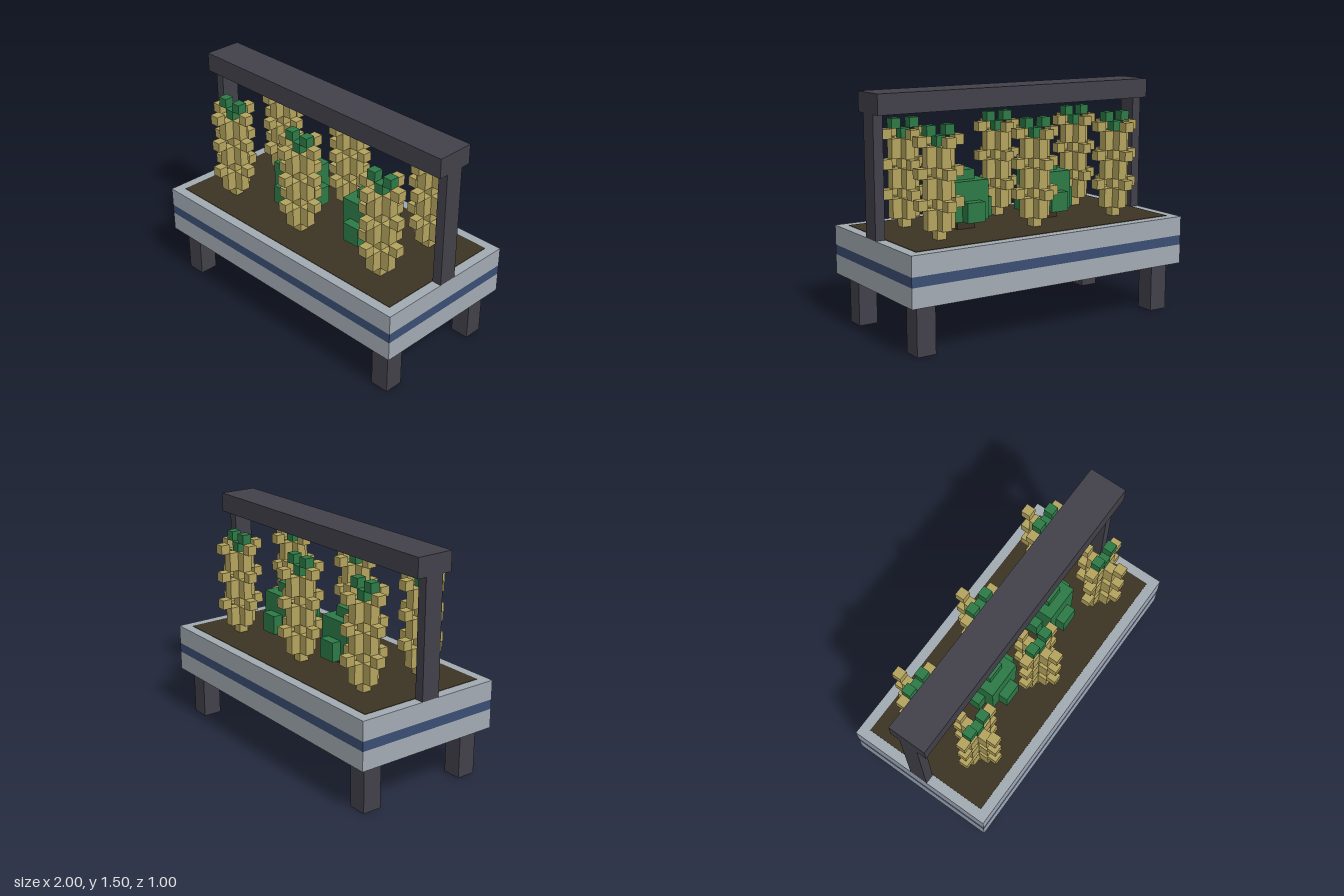
import * as THREE from 'three';

const U = 0.0625; // block size

const mat = (name, color) => {
  const m = new THREE.MeshStandardMaterial({ color });
  m.name = name;
  return m;
};

export function createModel() {
  const model = new THREE.Group();
  model.name = 'planter';
  const frameDark = mat('frame charcoal', 0x42414a);
  const trayGrey = mat('tray grey', 0xa3abb3);
  const stripeBlue = mat('stripe blue', 0x3b4e74);
  const soilBrown = mat('soil brown', 0x3c3423);
  const leafGreen = mat('leaf green', 0x2d7a47);
  const stalkTan = mat('stalk tan', 0xb5a45e);

  // Box given by centre x/z, bottom and top heights, and full width/depth
  const box = (parent, name, material, x, z, y0, y1, w, d) => {
    const mesh = new THREE.Mesh(new THREE.BoxGeometry(w, y1 - y0, d), material);
    mesh.position.set(x, (y0 + y1) / 2, z);
    mesh.name = name;
    parent.add(mesh);
    return mesh;
  };

  // Tray with a stripe band and a bed of soil
  box(model, 'trayLower', trayGrey, 0, 0, 0.3125, 0.4375, 2, 1);
  box(model, 'trayStripe', stripeBlue, 0, 0, 0.4375, 0.5, 2, 1);
  box(model, 'trayUpper', trayGrey, 0, 0, 0.5, 0.625, 2, 1);
  box(model, 'soil', soilBrown, 0, 0, 0.622, 0.628, 1.87, 0.87);

  // Legs and overhead frame with its lamp panel
  for (const sx of [-1, 1]) {
    for (const sz of [-1, 1]) {
      box(model, 'leg', frameDark, sx * 0.875, sz * 0.375, 0, 0.3125, 0.125, 0.125);
    }
    box(model, 'post', frameDark, sx * 0.96875, 0, 0.625, 1.375, U, 0.125);
  }
  box(model, 'beam', frameDark, 0, 0, 1.375, 1.5, 2, 0.25);
  box(model, 'lampPanel', trayGrey, 0, 0, 1.37, 1.376, 1.875, 0.125);

  // Tall stalk: central column, cross-shaped tiers, outer grains, green tip
  const stalk = (x, z) => {
    const g = new THREE.Group();
    g.name = 'stalkPlant';
    g.position.set(x, 0, z);
    box(g, 'stem', stalkTan, 0, 0, 0.625, 1.1875, U, U);
    for (const [dx, dz] of [[1, 0], [-1, 0], [0, 1], [0, -1]]) {
      for (let i = 0; i < 3; i++) {
        const y = 0.6875 + i * 3 * U;
        box(g, 'ear', stalkTan, dx * U, dz * U, y, y + 2 * U, U, U);
        box(g, 'grain', stalkTan, dx * 2 * U, dz * 2 * U, y + 2 * U, y + 3 * U, U, U);
      }
    }
    box(g, 'tip', leafGreen, 0, 0, 1.1875, 1.25, U, U);
    for (const s of [-1, 1]) box(g, 'tipLeaf', leafGreen, s * U, 0, 1.25, 1.3125, U, U);
    model.add(g);
  };
  for (const x of [-0.65625, -0.03125, 0.65625]) {
    for (const s of [-1, 1]) stalk(x, s * 0.21875);
  }

  // Bush: short trunk under stepped leafy tiers
  const bush = (x) => {
    const g = new THREE.Group();
    g.name = 'bush';
    g.position.x = x;
    box(g, 'trunk', soilBrown, 0, 0, 0.625, 0.6875, 0.125, 0.125);
    box(g, 'lowerLeaves', leafGreen, 0, 0, 0.6875, 0.9375, 0.25, 0.25);
    for (const s of [-1, 1]) {
      box(g, 'sideLeaves', leafGreen, s * 2.5 * U, 0, 0.6875, 0.8125, U, 0.125);
      box(g, 'frontLeaves', leafGreen, 0, s * 2.5 * U, 0.6875, 0.8125, 0.125, U);
    }
    box(g, 'topLeaves', leafGreen, 0, 0, 0.9375, 1, 0.125, 0.125);
    model.add(g);
  };
  bush(-0.25);
  bush(0.375);

  return model;
}
